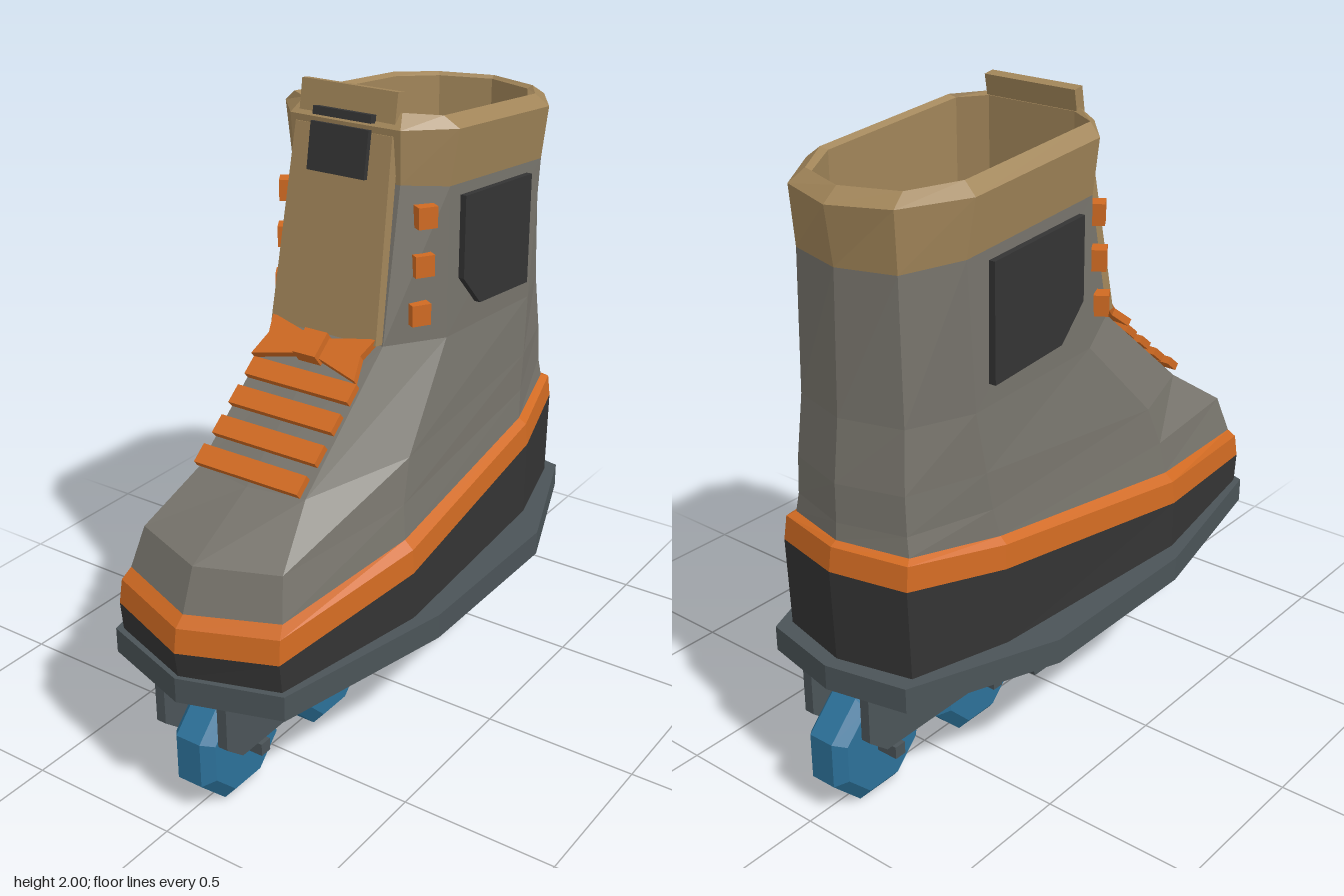
import * as THREE from 'three';

const mat = (name, color) => {
  const m = new THREE.MeshStandardMaterial({ color, flatShading: true });
  m.name = name;
  return m;
};

export function createModel() {
  const grey = mat('boot grey', 0x77746c);
  const tan = mat('lining tan', 0xa18559);
  const orange = mat('trim orange', 0xd06a22);
  const black = mat('rubber black', 0x343434);
  const steel = mat('frame slate', 0x4b5458);
  const blue = mat('wheel blue', 0x2c7199);

  const model = new THREE.Group();
  model.name = 'inlineSkate';

  const add = (name, geometry, material, pos = [0, 0, 0], rot = [0, 0, 0]) => {
    const mesh = new THREE.Mesh(geometry, material);
    mesh.name = name;
    mesh.position.set(...pos);
    mesh.rotation.set(...rot);
    model.add(mesh);
    return mesh;
  };
  const box = (w, h, d) => new THREE.BoxGeometry(w, h, d);

  // Mirrored cross-sections: six points [x, y, z] from front centre to rear centre
  const loft = (halves, capBottom = false, capTop = false) => {
    const rings = halves.map((h) => [
      ...h,
      ...h.slice(1, -1).reverse().map(([x, y, z]) => [-x, y, z]),
    ]);
    const n = rings[0].length, index = [];
    rings.slice(1).forEach((_, r) => {
      for (let i = 0; i < n; i++) {
        const a = r * n + i, b = r * n + ((i + 1) % n);
        index.push(a, b, b + n, a, b + n, a + n);
      }
    });
    const last = (rings.length - 1) * n;
    for (let i = 1; i < n - 1; i++) {
      if (capBottom) index.push(0, i + 1, i);
      if (capTop) index.push(last, last + i, last + i + 1);
    }
    const g = new THREE.BufferGeometry();
    g.setAttribute('position', new THREE.Float32BufferAttribute(rings.flat(2), 3));
    g.setIndex(index);
    g.computeVertexNormals();
    return g;
  };

  // Slab with a side profile of [z, y] points, centred on x = 0
  const sideSlab = (pts, thick) => {
    const shape = new THREE.Shape(pts.map((p) => new THREE.Vector2(...p)));
    return new THREE.ExtrudeGeometry(shape, { depth: thick, bevelEnabled: false })
      .translate(0, 0, -thick / 2).rotateY(-Math.PI / 2);
  };
  const frontSlab = (pts, thick) => new THREE.ExtrudeGeometry(
    new THREE.Shape(pts.map((p) => new THREE.Vector2(...p))), { depth: thick, bevelEnabled: false });

  // Base plate
  const plate = [[0, 0.93], [0.31, 0.83], [0.44, 0.23], [0.44, -0.38], [0.26, -0.85], [0, -0.905]];
  const plateAt = (y) => plate.map(([x, z]) => [x, y, z]);
  add('basePlate', loft([plateAt(0.41), plateAt(0.49)], true, true), steel);

  // Frame rails
  const rail = [[0.87, 0.42], [0.87, 0.26], [0.8, 0.2], [0.09, 0.2], [0.055, 0.09], [-0.105, 0.09],
    [-0.14, 0.2], [-0.8, 0.2], [-0.87, 0.26], [-0.87, 0.42]];
  for (const s of [-1, 1]) add(s > 0 ? 'leftRail' : 'rightRail', sideSlab(rail, 0.033), steel, [s * 0.115, 0, 0]);

  // Wheels with chamfered treads, axle bolts and spacers
  const tread = [[0, -0.073], [0.155, -0.073], [0.193, -0.043], [0.193, 0.043], [0.155, 0.073], [0, 0.073]]
    .map((p) => new THREE.Vector2(...p));
  const wheel = new THREE.LatheGeometry(tread, 8).rotateY(Math.PI / 8).rotateZ(Math.PI / 2);
  [0.71, 0.26, -0.31, -0.76].forEach((z, i) => {
    add(`wheel${i + 1}`, wheel, blue, [0, 0.178, z]);
    add(`axle${i + 1}`, box(0.29, 0.04, 0.04), steel, [0, 0.18, z]);
    add(`spacer${i + 1}`, box(0.21, 0.06, 0.06), steel, [0, 0.25, z]);
  });

  // Sole and orange rand, rising toward the heel
  const randLow = [[0, 0.57, 0.925], [0.292, 0.583, 0.825], [0.385, 0.645, 0.29],
    [0.33, 0.737, -0.49], [0.24, 0.775, -0.81], [0, 0.78, -0.868]];
  const randMid = randLow.map(([x, y, z]) => [x * 0.985, y + 0.075, z * 0.987]);
  const randTop = [[0, 0.675, 0.88], [0.275, 0.69, 0.785], [0.35, 0.745, 0.285],
    [0.3, 0.83, -0.48], [0.22, 0.86, -0.775], [0, 0.867, -0.835]];
  const soleLow = randLow.map(([x, , z]) => [x, 0.485, z * 0.988]);
  add('sole', loft([soleLow, randLow], true), black);
  add('rand', loft([randLow, randMid, randTop]), orange);

  // Boot upper
  const shaftTop = [[0, 1.74, 0.08], [0.185, 1.74, 0.075], [0.28, 1.725, -0.04],
    [0.28, 1.68, -0.585], [0.185, 1.66, -0.745], [0, 1.655, -0.79]];
  add('upper', loft([
    randTop,
    [[0, 0.805, 0.83], [0.25, 0.815, 0.745], [0.335, 0.85, 0.27], [0.29, 0.92, -0.5], [0.21, 0.92, -0.77], [0, 0.92, -0.83]],
    [[0, 0.945, 0.58], [0.19, 0.95, 0.555], [0.32, 0.98, 0.22], [0.285, 1.04, -0.52], [0.205, 1.04, -0.768], [0, 1.04, -0.828]],
    [[0, 1.28, 0.172], [0.19, 1.28, 0.167], [0.28, 1.26, -0.04], [0.275, 1.23, -0.55], [0.195, 1.23, -0.75], [0, 1.23, -0.805]],
    shaftTop,
  ]), grey);

  // Padded collar, lip and lining
  const lip = [[0, 1.94, 0.045], [0.17, 1.94, 0.045], [0.26, 1.93, -0.03],
    [0.26, 1.885, -0.565], [0.175, 1.872, -0.705], [0, 1.87, -0.765]];
  const inner = lip.map(([x, y, z]) => [x * 0.93, y - 0.01, z - 0.012 * Math.sign(z)]);
  const floor = inner.map(([x, , z]) => [x, 1.3, z]);
  add('collar', loft([
    shaftTop,
    [[0, 1.9, 0.088], [0.19, 1.9, 0.085], [0.305, 1.895, -0.045], [0.305, 1.85, -0.575], [0.19, 1.838, -0.757], [0, 1.83, -0.815]],
    lip, inner, floor,
  ]), tan);
  add('insole', loft([floor, floor.map(([x, y, z]) => [x, y + 0.005, z])], false, true), black);

  // Tongue, its top tab and pull tag
  add('tongue', frontSlab([[-0.188, 0], [0.188, 0], [0.167, 0.6], [-0.167, 0.6]], 0.035), tan,
    [0, 1.285, 0.168], [-0.187, 0, 0]);
  add('tongueTab', box(0.33, 0.13, 0.036), tan, [0, 1.933, 0.052], [-0.17, 0, 0]);
  add('pullTag', box(0.2, 0.14, 0.016), black, [0, 1.823, 0.114], [-0.17, 0, 0]);
  add('tagLoop', box(0.2, 0.024, 0.03), black, [0, 1.92, 0.084], [-0.17, 0, 0]);

  // Laces and bow lying on the instep
  const slope = -0.89;
  [[0.988, 0.558], [1.048, 0.472], [1.115, 0.392], [1.178, 0.312]].forEach(([y, z], i) =>
    add(`lace${i + 1}`, box(0.37, 0.062, 0.024), orange, [0, y, z], [slope, 0, 0]));
  for (const s of [-1, 1]) {
    const wing = [[0, -0.025], [0.185, -0.075], [0.165, 0.005], [0.185, 0.07], [0, 0.025]].map(([x, y]) => [x * s, y]);
    add(s > 0 ? 'leftBowLoop' : 'rightBowLoop', frontSlab(wing, 0.024), orange, [0, 1.25, 0.235], [slope, 0, 0]);
  }
  add('bowKnot', box(0.08, 0.085, 0.05), orange, [0, 1.265, 0.25], [slope, 0, 0]);

  // Lace hooks and ankle patches on both sides
  const patch = [[-0.1, 1.685], [-0.495, 1.655], [-0.495, 1.3], [-0.2, 1.325], [-0.1, 1.43]];
  for (const s of [-1, 1]) {
    const side = s > 0 ? 'left' : 'right';
    [[1.65, 0.035], [1.508, 0.047], [1.363, 0.063]].forEach(([y, z], i) =>
      add(`${side}Hook${i + 1}`, box(0.06, 0.065, 0.045), orange, [s * 0.245, y, z], [0, s * 1.0, 0]));
    add(`${side}AnklePatch`, sideSlab(patch, 0.024), black, [s * 0.287, 0, 0]);
  }

  return model;
}
